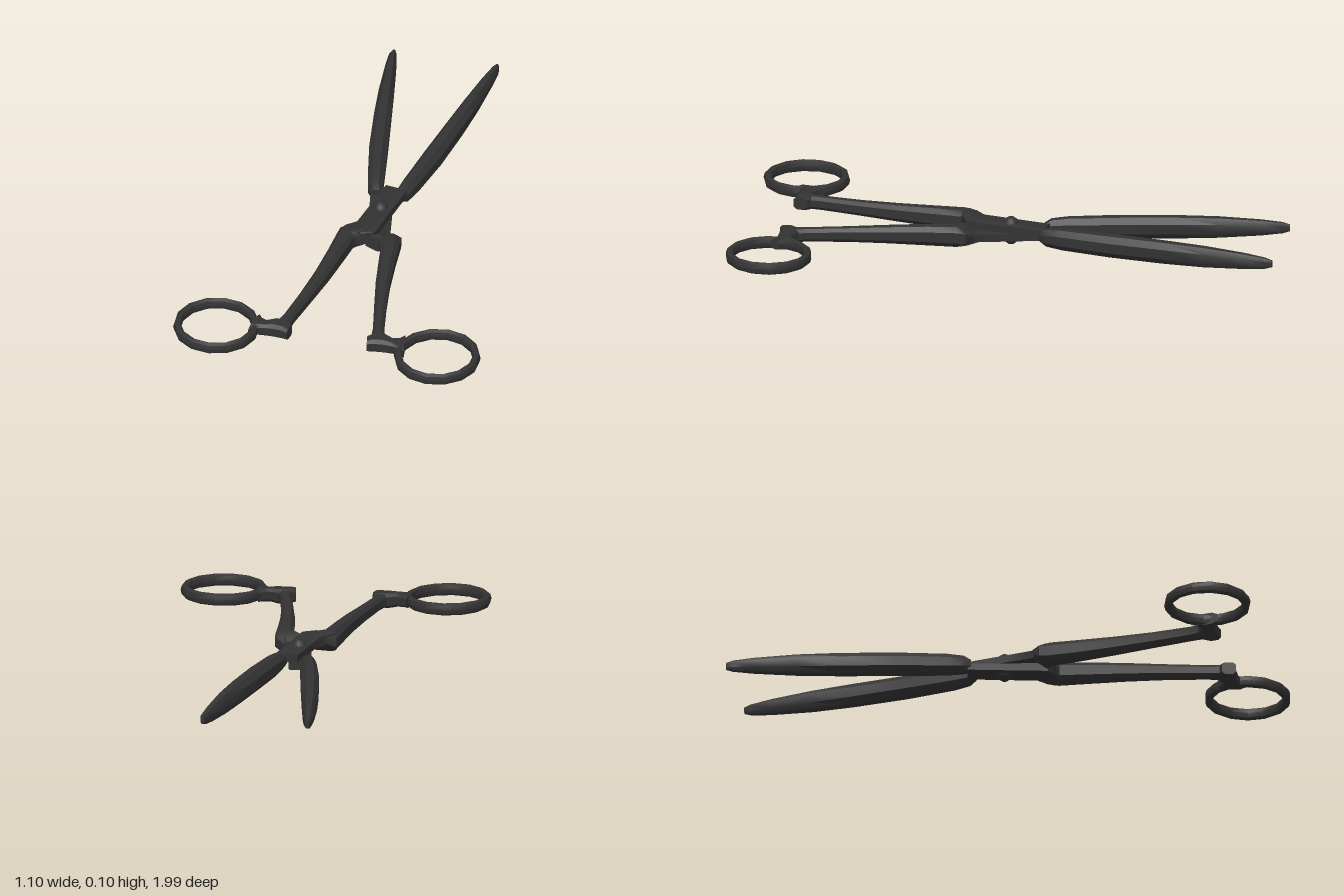
import * as THREE from 'three';
import { toCreasedNormals } from 'three/addons/utils/BufferGeometryUtils.js';

const PIVOT = new THREE.Vector3(-0.145, 0.052, -0.016);
const steel = new THREE.MeshStandardMaterial({ color: 0x333333 });

// Chamfered-rectangle loft along z; each station is [z, xMin, xMax, yMin, yMax]
function loft(stations, chamfer) {
  const pos = [], index = [], n = 8;
  for (const [z, x0, x1, y0, y1] of stations) {
    const cx = (x1 - x0) * chamfer, cy = (y1 - y0) * chamfer;
    const ring = [[x1, y0 + cy], [x1, y1 - cy], [x1 - cx, y1], [x0 + cx, y1],
      [x0, y1 - cy], [x0, y0 + cy], [x0 + cx, y0], [x1 - cx, y0]];
    for (const [x, y] of ring) pos.push(x, y, z);
  }
  const last = (stations.length - 1) * n;
  for (let i = 0; i < last; i += n) {
    for (let j = 0; j < n; j++) {
      const k = (j + 1) % n;
      index.push(i + j, i + k, i + n + k, i + j, i + n + k, i + n + j);
    }
  }
  for (let j = 1; j < n - 1; j++) {
    index.push(0, j + 1, j, last, last + j, last + j + 1);
  }
  const g = new THREE.BufferGeometry();
  g.setAttribute('position', new THREE.Float32BufferAttribute(pos, 3));
  g.setIndex(index);
  return g;
}

// Meshes are stored relative to the pivot so a half can swing around it
function part(name, geometry) {
  geometry.translate(-PIVOT.x, -PIVOT.y, -PIVOT.z);
  const mesh = new THREE.Mesh(toCreasedNormals(geometry, 0.65), steel);
  mesh.name = name;
  return mesh;
}

function createHalf(name) {
  const half = new THREE.Group();
  half.name = name;

  half.add(part('blade', loft([
    [-1.0, -0.138, -0.126, 0.040, 0.064],
    [-0.975, -0.143, -0.116, 0.033, 0.071],
    [-0.9, -0.146, -0.107, 0.025, 0.079],
    [-0.75, -0.147, -0.094, 0.016, 0.088],
    [-0.6, -0.147, -0.086, 0.013, 0.091],
    [-0.4, -0.147, -0.081, 0.013, 0.091],
    [-0.22, -0.145, -0.087, 0.016, 0.089],
    [-0.16, -0.143, -0.092, 0.022, 0.084],
    [-0.135, -0.143, -0.102, 0.035, 0.078],
  ], 0.27)));

  // Flat half-lap joint around the rivet
  half.add(part('joint', loft([
    [-0.147, -0.184, -0.102, 0.052, 0.080],
    [0.0, -0.184, -0.102, 0.052, 0.083],
    [0.1, -0.184, -0.100, 0.052, 0.085],
    [0.137, -0.212, -0.100, 0.045, 0.087],
    [0.165, -0.220, -0.140, 0.030, 0.088],
  ], 0.06)));

  // Shoulder stepping sideways into the arm
  half.add(part('arm', loft([
    [0.112, -0.193, -0.160, 0.045, 0.082],
    [0.145, -0.228, -0.120, 0.022, 0.090],
    [0.177, -0.226, -0.160, 0.016, 0.091],
    [0.28, -0.215, -0.157, 0.018, 0.088],
    [0.42, -0.204, -0.154, 0.023, 0.083],
    [0.56, -0.200, -0.157, 0.027, 0.078],
    [0.70, -0.200, -0.161, 0.029, 0.076],
    [0.77, -0.210, -0.157, 0.029, 0.076],
  ], 0.24)));

  // Stop and neck run sideways: stations are [x, -zMax, -zMin, yMin, yMax]
  half.add(part('stopAndNeck', loft([
    [-0.278, -0.835, -0.735, 0.031, 0.074],
    [-0.262, -0.820, -0.752, 0.030, 0.075],
    [-0.235, -0.808, -0.760, 0.029, 0.076],
    [-0.205, -0.802, -0.735, 0.026, 0.079],
    [-0.170, -0.798, -0.735, 0.026, 0.079],
    [-0.145, -0.800, -0.752, 0.030, 0.075],
  ], 0.2).rotateY(Math.PI / 2)));

  // Finger ring with an upright oval section
  const ring = new THREE.TorusGeometry(0.139, 0.0148, 8, 14);
  ring.scale(1, 1, 1.5).rotateX(Math.PI / 2).translate(-0.397, 0.052, 0.842);
  half.add(part('fingerRing', ring));
  return half;
}

export function createModel() {
  const model = new THREE.Group();
  model.name = 'scissors';

  const upper = createHalf('upperHalf');
  upper.position.copy(PIVOT);

  // The second half is the first one turned over and swung open
  const lower = createHalf('lowerHalf');
  lower.position.copy(PIVOT);
  lower.rotation.set(0, THREE.MathUtils.degToRad(20.5), Math.PI);

  // Domed rivet through both halves
  const rivet = new THREE.Mesh(new THREE.SphereGeometry(1, 14, 10), steel);
  rivet.name = 'rivet';
  rivet.scale.set(0.034, PIVOT.y, 0.034);
  rivet.position.copy(PIVOT);

  model.add(upper, lower, rivet);
  return model;
}
